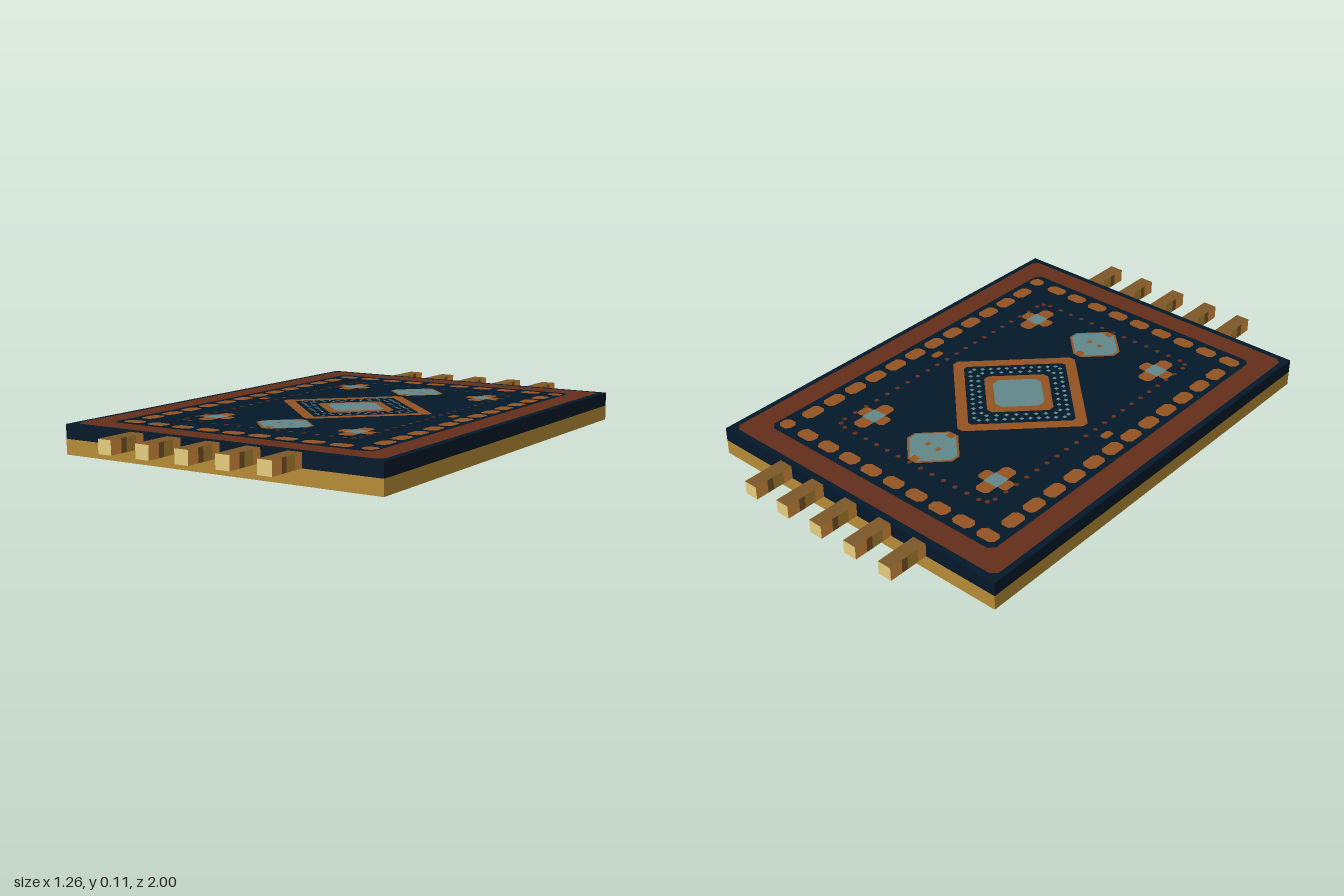
import * as THREE from 'three';
import { mergeGeometries } from 'three/addons/utils/BufferGeometryUtils.js';

const mat = (name, color) => {
  const m = new THREE.MeshStandardMaterial({ color });
  m.name = name;
  return m;
};

const BOTTOM = 0.055, TOP = 0.106;

// Flat outlines, drawn in x and z
const poly = (pts) => new THREE.Shape(pts.map(([x, y]) => new THREE.Vector2(x, y)));
// Rectangle with cut corners
const chip = (x, z, w, d, c) => poly([
  [x - w + c, z - d], [x + w - c, z - d], [x + w, z - d + c], [x + w, z + d - c],
  [x + w - c, z + d], [x - w + c, z + d], [x - w, z + d - c], [x - w, z - d + c]]);
const rect = (x, z, w, d) => poly([[x - w, z - d], [x + w, z - d], [x + w, z + d], [x - w, z + d]]);
// Diamond with slightly blunt tips
const diamond = (x, z, r, b) => poly([
  [x + r, z - b], [x + r, z + b], [x + b, z + r], [x - b, z + r],
  [x - r, z + b], [x - r, z - b], [x - b, z - r], [x + b, z - r]]);
const withHole = (shape, hole) => { shape.holes.push(hole); return shape; };

export function createModel() {
  const navy = mat('navy wool', 0x03182a);
  const red = mat('rust red wool', 0x642e1a);
  const orange = mat('orange wool', 0x945322);
  const teal = mat('teal wool', 0x61888a);
  const wood = mat('golden wood', 0xb68b36);
  const brown = mat('brown fringe', 0x7c5829);
  const cream = mat('cream fringe', 0xe6cd7f);
  const amber = mat('amber fringe', 0xe39640);

  const model = new THREE.Group();
  model.name = 'rug';
  const box = (parent, name, material, w, h, d, x, y, z) => {
    const m = new THREE.Mesh(new THREE.BoxGeometry(w, h, d), material);
    m.name = name;
    m.position.set(x, y, z);
    parent.add(m);
  };

  // Woven slab
  box(model, 'rugSlab', navy, 1.264, TOP - BOTTOM, 1.686, 0, (TOP + BOTTOM) / 2, 0);

  // Pattern outlines
  const borderShapes = [withHole(chip(0, 0, 0.61, 0.818, 0.02), chip(0, 0, 0.523, 0.733, 0.02))];
  const dotShapes = [];
  const orangeShapes = [];
  const tealShapes = [];
  const spotShapes = [];

  // Dashed inner border
  for (let i = 0; i < 10; i++)
    for (const s of [-1, 1])
      orangeShapes.push(chip(-0.463 + i * 0.1055, s * 0.683, i < 9 ? 0.039 : 0.027, 0.026, 0.014));
  for (let i = 0; i < 12; i++)
    for (const s of [-1, 1]) orangeShapes.push(chip(s * 0.474, -0.575 + i * 0.1045, 0.027, 0.041, 0.014));

  // Fine dotted line of tiny marks
  const dot = (x, z) => dotShapes.push(diamond(x, z, 0.009, 0.003));
  for (let i = -6; i <= 6; i++) for (const s of [-1, 1]) dot(i * 0.053, s * 0.567);
  for (let i = -10; i <= 10; i++) for (const s of [-1, 1]) dot(s * 0.357, i * 0.053);
  for (const sx of [-1, 1]) for (const sz of [-1, 1]) dot(sx * 0.347, sz * 0.557);

  // Central diamond, with dashed teal lines inside it
  orangeShapes.push(withHole(diamond(0, 0, 0.314, 0.012), diamond(0, 0, 0.262, 0.008)));
  orangeShapes.push(diamond(0, 0, 0.157, 0.012));
  tealShapes.push(diamond(0, 0, 0.11, 0.016));
  for (const [r, n] of [[0.238, 11], [0.2, 8]])
    for (let i = 0; i < n; i++) {
      const t = (i + 0.5) / n;
      for (const sx of [-1, 1]) for (const sz of [-1, 1])
        tealShapes.push(rect(sx * r * t, sz * r * (1 - t), 0.0065, 0.0065));
    }

  for (const s of [-1, 1]) {
    // Side marks
    orangeShapes.push(chip(s * 0.408, 0, 0.015, 0.024, 0.007));
    // End medallions
    const z = s * 0.45;
    orangeShapes.push(diamond(0, z, 0.107, 0.019));
    tealShapes.push(diamond(0, z, 0.099, 0.016));
    for (const k of [-1, 1]) {
      spotShapes.push(rect(0, z + k * 0.09, 0.015, 0.013));
      spotShapes.push(rect(k * 0.024, z, 0.008, 0.009));
      // Corner flowers
      const x = k * 0.29;
      orangeShapes.push(chip(x, z, 0.028, 0.082, 0.012));
      for (const e of [-1, 1]) orangeShapes.push(chip(x + e * 0.045, z, 0.02, 0.027, 0.01));
      tealShapes.push(rect(x, z, 0.03, 0.03));
    }
  }

  // The pattern shows on both faces of the weave
  const layers = [
    ['border', red, borderShapes, 0.001], ['dottedLine', red, dotShapes, 0.001],
    ['orangePattern', orange, orangeShapes, 0.001], ['tealPattern', teal, tealShapes, 0.002],
    ['medallionSpots', orange, spotShapes, 0.003]];
  for (const [side, y, flip] of [['top', TOP, 0], ['underside', BOTTOM, Math.PI]]) {
    const face = new THREE.Group();
    face.name = side + 'Pattern';
    face.position.y = y;
    face.rotation.x = flip;
    for (const [name, material, shapes, lift] of layers) {
      const g = mergeGeometries(shapes.map((s) => new THREE.ShapeGeometry(s)));
      g.rotateX(-Math.PI / 2);
      const m = new THREE.Mesh(g, material);
      m.name = name;
      m.position.y = lift;
      face.add(m);
    }
    model.add(face);
  }

  // Wooden frame below: thin outer and inner rails with rungs across the channel
  const frame = new THREE.Group();
  frame.name = 'frame';
  const y = BOTTOM / 2, T = 0.014, GAP = 0.082;
  for (const s of [-1, 1]) {
    for (const [name, hx, hz] of [['outer', 0.632, 0.843], ['inner', 0.536, 0.747]]) {
      box(frame, name + 'SideRail', wood, T, BOTTOM, hz * 2, s * (hx - T / 2), y, 0);
      box(frame, name + 'EndRail', wood, (hx - T) * 2, BOTTOM, T, 0, y, s * (hz - T / 2));
    }
    for (let i = -3; i <= 3; i++) box(frame, 'sideRung', wood, GAP, BOTTOM, T, s * 0.577, y, i * 0.245);
    for (const k of [-1, 1]) box(frame, 'endRung', wood, T, BOTTOM, GAP, k * 0.529, y, s * 0.788);
  }
  model.add(frame);

  // Fringe: each tassel has four bands, [start, end, side colour]
  const bands = [[0.843, 0.88, amber], [0.88, 0.925, wood], [0.925, 0.95, brown], [0.95, 1.0, amber]];
  for (const s of [-1, 1])
    for (const x of [-0.316, -0.16, -0.002, 0.157, 0.314]) {
      const tassel = new THREE.Group();
      tassel.name = 'tassel';
      for (const [a, b, side] of bands)
        box(tassel, 'tasselBand', [side, side, brown, side, cream, cream],
          0.054, TOP - BOTTOM - 0.001, b - a, x, (TOP + BOTTOM) / 2, s * (a + b) / 2);
      model.add(tassel);
    }
  return model;
}
